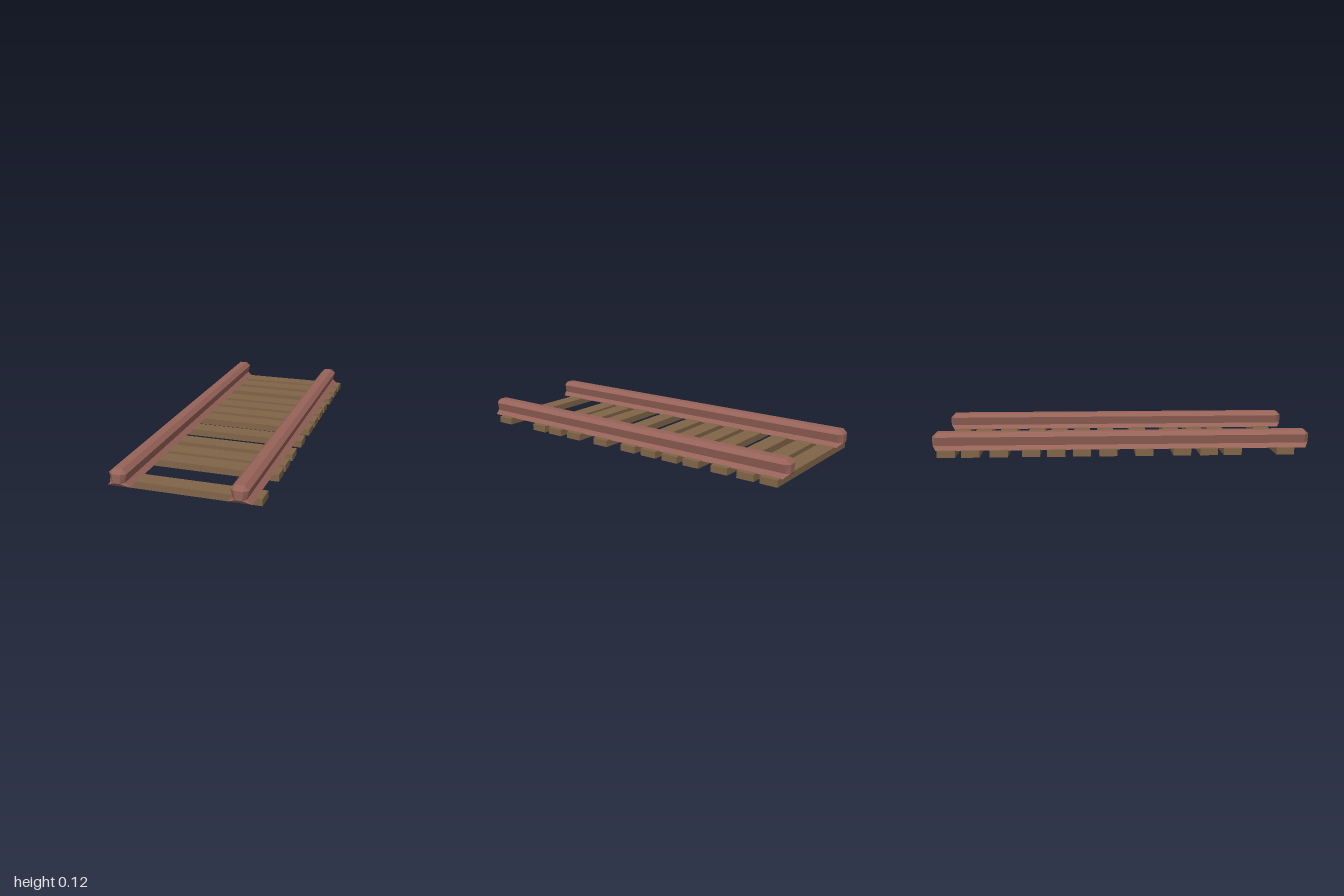
import * as THREE from 'three';

const railMat = new THREE.MeshStandardMaterial({ color: 0x966358 });
railMat.name = 'rustyRed';
const woodMat = new THREE.MeshStandardMaterial({ color: 0x806548 });
woodMat.name = 'woodBrown';

// Rail cross-section, clockwise from the left foot to the right foot
const SECTION = [
  [-0.058, 0.033], [-0.034, 0.055], [-0.045, 0.101], [-0.023, 0.123],
  [0.023, 0.123], [0.045, 0.101], [0.034, 0.055], [0.058, 0.033],
];
// Smaller end face, its corners doubled to match the section
const bL = [-0.017, 0.055], tL = [-0.023, 0.101], tR = [0.023, 0.101], bR = [0.017, 0.055];
const END = [bL, bL, tL, tL, tR, tR, bR, bR];

function railGeometry() {
  const at = (ring, z) => ring.map(([x, y]) => [x, y, z]);
  const rings = [at(END, -1), at(SECTION, -0.978), at(SECTION, 0.978), at(END, 1)];
  const pos = [];
  const tri = (a, b, c) => pos.push(...a, ...b, ...c);
  const same = (a, b) => a.every((v, i) => v === b[i]);
  const quad = (a, b, c, d) => {
    if (!same(b, c)) tri(a, b, c);
    if (!same(a, d)) tri(a, c, d);
  };
  // Sides and chamfers
  for (let i = 0; i < 3; i++) {
    for (let j = 0; j < 8; j++) {
      const k = (j + 1) % 8;
      quad(rings[i][j], rings[i + 1][j], rings[i + 1][k], rings[i][k]);
    }
  }
  // End faces
  const f = rings[3], b = rings[0];
  quad(f[0], f[7], f[4], f[2]);
  quad(b[2], b[4], b[7], b[0]);
  const geo = new THREE.BufferGeometry();
  geo.setAttribute('position', new THREE.Float32BufferAttribute(pos, 3));
  geo.computeVertexNormals();
  return geo;
}

export function createModel() {
  const group = new THREE.Group();
  group.name = 'railTrack';

  // Two matching rails
  const railGeo = railGeometry();
  for (const [name, x] of [['rightRail', -0.305], ['leftRail', 0.295]]) {
    const rail = new THREE.Mesh(railGeo, railMat);
    rail.name = name;
    rail.position.x = x;
    group.add(rail);
  }

  // Unevenly spaced wooden sleepers
  const sleeperGeo = new THREE.BoxGeometry(0.766, 0.036, 0.095);
  const centres = [-0.922, -0.795, -0.648, -0.48, -0.349, -0.213, -0.075, 0.116, 0.315, 0.458, 0.584, 0.865];
  centres.forEach((z, i) => {
    const sleeper = new THREE.Mesh(sleeperGeo, woodMat);
    sleeper.name = `sleeper${i + 1}`;
    sleeper.position.set(0, 0.018, z);
    group.add(sleeper);
  });
  return group;
}
